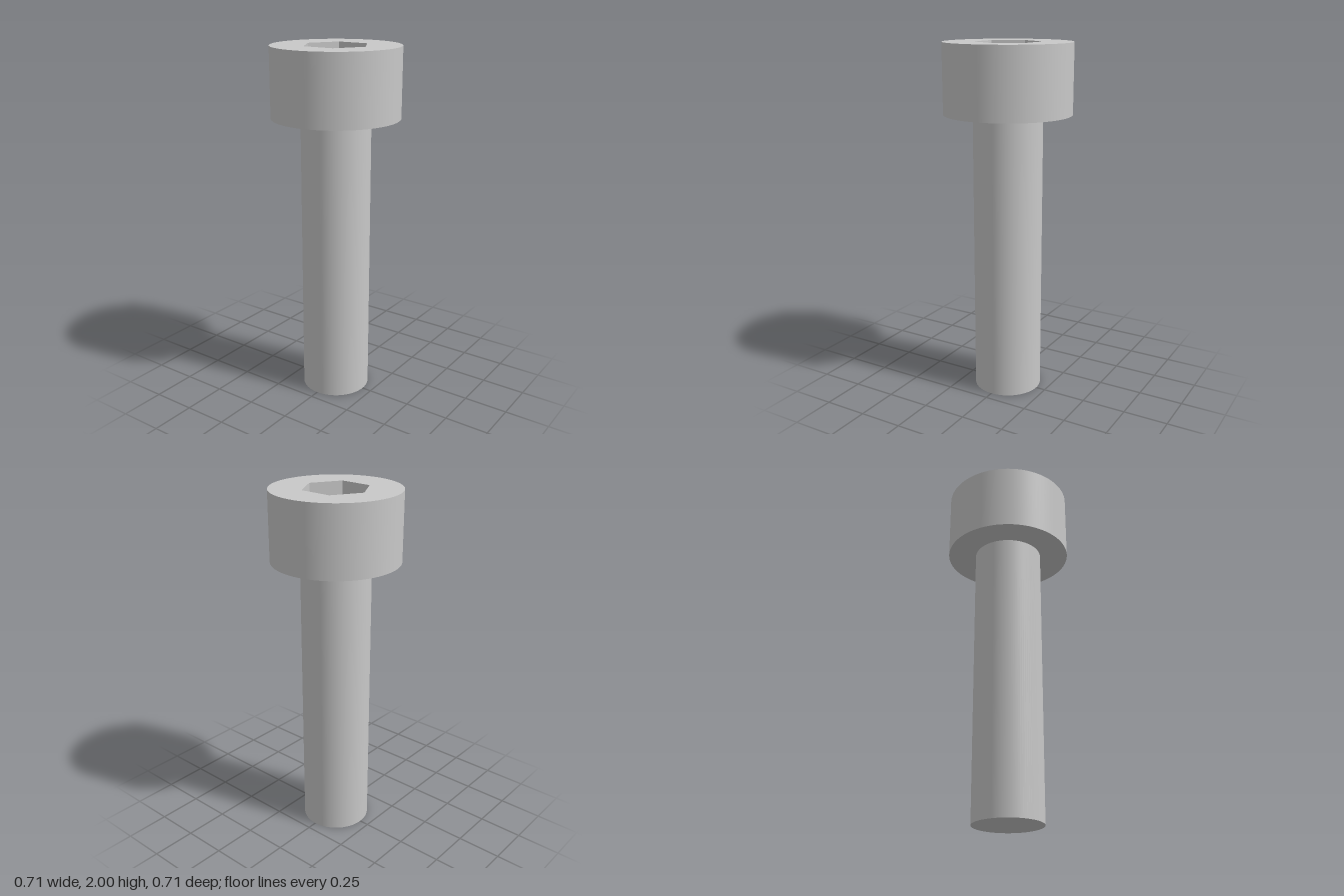
import * as THREE from 'three';

const SEG = 96;
const HEAD_R = 0.355, SHANK_R = 0.1935, HEX_R = 0.1863;
const TOP = 2, UNDER = 1.613, SOCKET_DEPTH = 0.194;

export function createModel() {
  const group = new THREE.Group();
  const steel = new THREE.MeshStandardMaterial({ color: 0xc8c8c8 });
  steel.name = 'steel grey';

  const add = (name, geometry, y) => {
    const mesh = new THREE.Mesh(geometry, steel);
    mesh.name = name;
    mesh.position.y = y;
    group.add(mesh);
  };
  const wall = (r, h) => new THREE.CylinderGeometry(r, r, h, SEG, 1, true);
  const faceUp = (g) => g.rotateX(-Math.PI / 2);
  const faceDown = (g) => g.rotateX(Math.PI / 2);

  // Shank
  add('shankWall', wall(SHANK_R, UNDER), UNDER / 2);
  add('shankEnd', faceDown(new THREE.CircleGeometry(SHANK_R, SEG)), 0);

  // Head wall and its bearing face
  add('headWall', wall(HEAD_R, TOP - UNDER), (TOP + UNDER) / 2);
  add('headUnderside', faceDown(new THREE.RingGeometry(SHANK_R, HEAD_R, SEG)), UNDER);

  // Head top with a hexagonal opening, corners on the x axis
  const polygon = (r, n) => Array.from({ length: n }, (_, i) => {
    const a = (i / n) * Math.PI * 2;
    return new THREE.Vector2(r * Math.cos(a), r * Math.sin(a));
  });
  const top = new THREE.Shape(polygon(HEAD_R, SEG));
  top.holes.push(new THREE.Path(polygon(HEX_R, 6)));
  add('headTop', faceUp(new THREE.ShapeGeometry(top)), TOP);

  // Socket: mirrored so that its flat walls face inward
  const socket = new THREE.CylinderGeometry(HEX_R, HEX_R, SOCKET_DEPTH, 6, 1, true, Math.PI / 2)
    .toNonIndexed()
    .scale(-1, 1, 1);
  socket.computeVertexNormals();
  add('socketWalls', socket, TOP - SOCKET_DEPTH / 2);
  add('socketFloor', faceUp(new THREE.CircleGeometry(HEX_R, 6)), TOP - SOCKET_DEPTH);

  return group;
}
